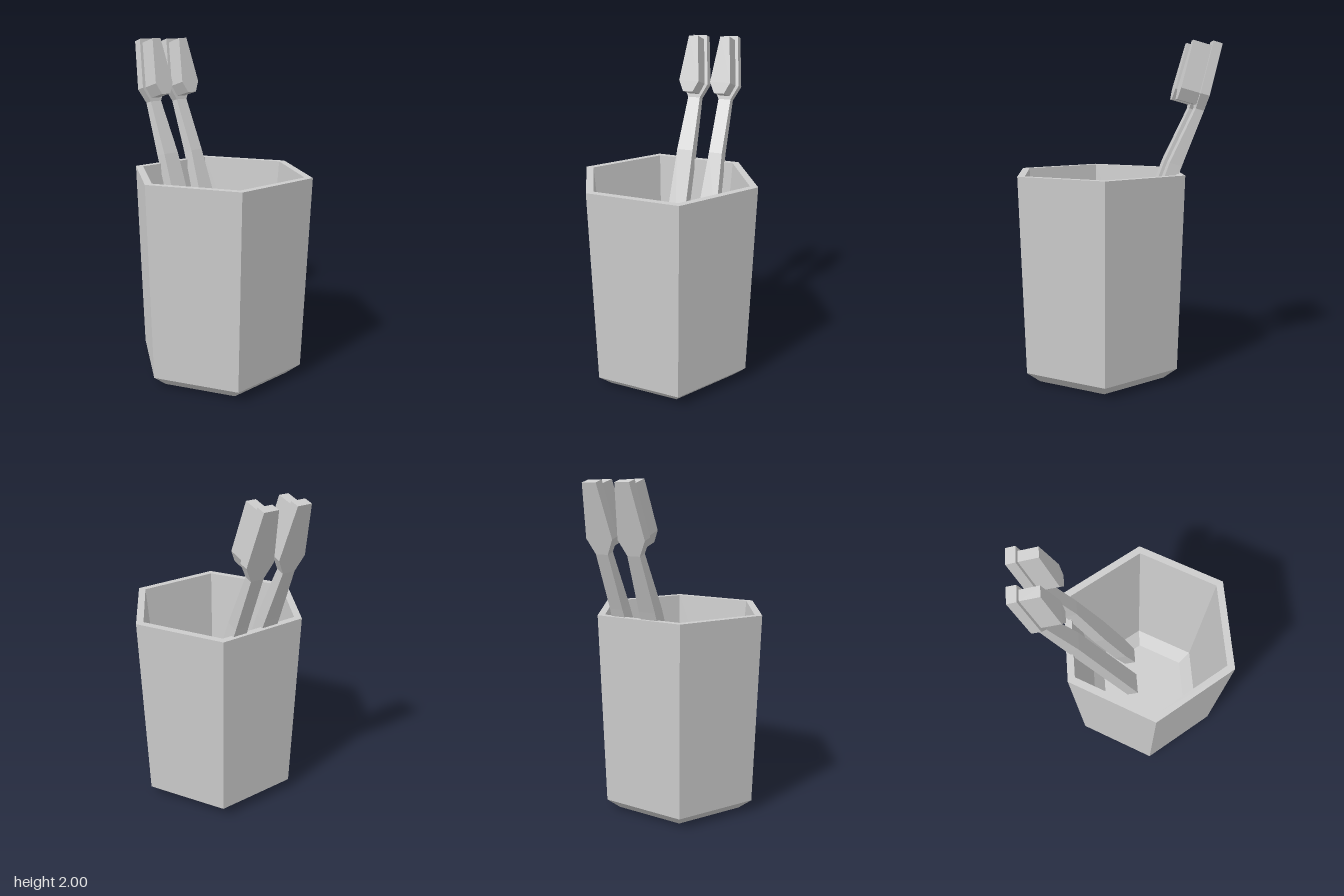
import * as THREE from 'three';

const material = new THREE.MeshStandardMaterial({ color: 0xcccccc, flatShading: true });

// Lofts a rectangular bar; each section is [back y, back z, half width, thickness].
function loft(name, sections) {
  const positions = [];
  const index = [];
  for (const [y, z, w, t] of sections) {
    const fy = y + 0.27 * t, fz = z + 0.96 * t;
    positions.push(-w, y, z, w, y, z, w, fy, fz, -w, fy, fz);
  }
  for (let s = 0; s < sections.length - 1; s++) {
    for (let i = 0; i < 4; i++) {
      const a = s * 4 + i, b = s * 4 + (i + 1) % 4;
      index.push(a, b + 4, b, a, a + 4, b + 4);
    }
  }
  const e = (sections.length - 1) * 4;
  index.push(0, 1, 2, 0, 2, 3, e, e + 2, e + 1, e, e + 3, e + 2);
  const geometry = new THREE.BufferGeometry();
  geometry.setAttribute('position', new THREE.Float32BufferAttribute(positions, 3));
  geometry.setIndex(index);
  geometry.computeVertexNormals();
  const mesh = new THREE.Mesh(geometry, material);
  mesh.name = name;
  return mesh;
}

// Toothbrush: grip varies, neck and head are shared.
function createBrush(name, x, grip) {
  const brush = new THREE.Group();
  brush.name = name;
  brush.add(loft('handle', [
    ...grip,
    [1.60, -0.485, 0.04, 0.05],
    [1.685, -0.507, 0.086, 0.055],
    [1.98, -0.585, 0.045, 0.055],
  ]));
  brush.add(loft('bristles', [
    [1.635, -0.44, 0.032, 0.115],
    [1.70, -0.457, 0.065, 0.115],
    [1.969, -0.53, 0.03, 0.115],
  ]));
  brush.position.x = x;
  return brush;
}

export function createModel() {
  const model = new THREE.Group();
  model.name = 'toothbrushCup';

  // Hexagonal cup with chamfered foot, flat rim and hollow inside
  const profile = [
    [0, 0], [0.43, 0], [0.515, 0.07], [0.55, 1.235],
    [0.502, 1.235], [0.41, 0.18], [0.325, 0.09], [0, 0.09],
  ].map(([r, y]) => new THREE.Vector2(r, y));
  const cup = new THREE.Mesh(new THREE.LatheGeometry(profile, 6, Math.PI / 2), material);
  cup.name = 'cup';
  cup.position.z = 0.11;
  model.add(cup);

  // Brushes leaning on the back rim
  model.add(createBrush('rightBrush', -0.06, [
    [0.36, -0.017, 0.068, 0.075],
    [1.28, -0.36, 0.053, 0.075],
  ]));
  model.add(createBrush('leftBrush', 0.147, [
    [0.36, -0.017, 0.05, 0.075],
    [0.534, -0.082, 0.0625, 0.075],
    [0.883, -0.212, 0.0625, 0.075],
    [1.28, -0.36, 0.043, 0.075],
  ]));
  return model;
}
